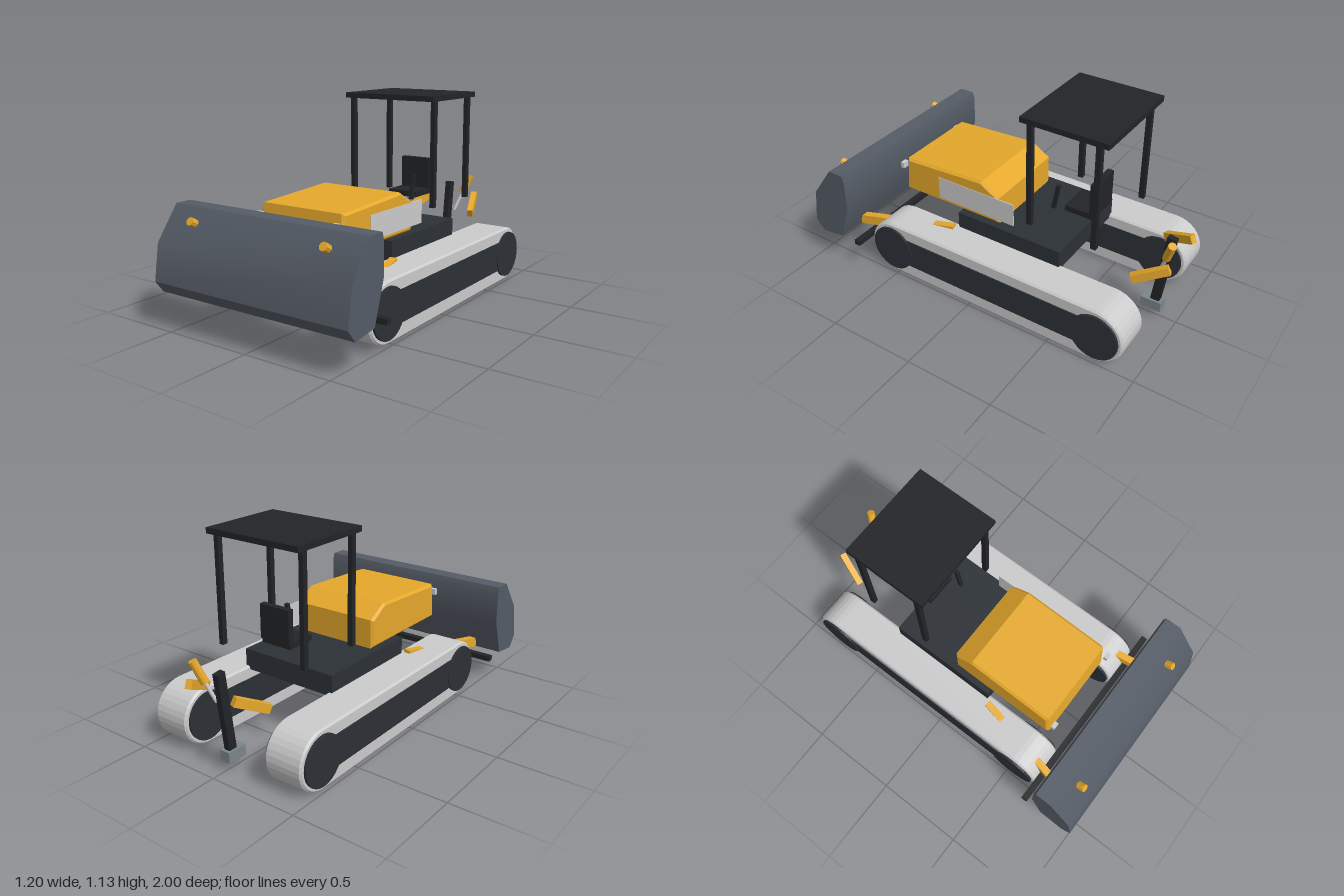
import * as THREE from 'three';
import { toCreasedNormals } from 'three/addons/utils/BufferGeometryUtils.js';

const mat = (color, flatShading = true) => new THREE.MeshStandardMaterial({ color, flatShading });
const yellow = mat(0xe5a82b);
const black = mat(0x222427);
const dark = mat(0x2c3137);
const steel = mat(0x555c66, false);
const tooth = mat(0x7a868c);
const grey = mat(0xcccccc);
const V = (x, y, z) => new THREE.Vector3(x, y, z);

export function createModel() {
  const model = new THREE.Group();

  const add = (name, geometry, material) => {
    const mesh = new THREE.Mesh(geometry, material);
    mesh.name = name;
    model.add(mesh);
    return mesh;
  };

  // Box given by its ranges on x, y and z
  const box = (name, material, [x0, x1], [y0, y1], [z0, z1]) => {
    const mesh = add(name, new THREE.BoxGeometry(x1 - x0, y1 - y0, z1 - z0), material);
    mesh.position.set((x0 + x1) / 2, (y0 + y1) / 2, (z0 + z1) / 2);
    return mesh;
  };

  // Rectangular bar running from a to b
  const bar = (name, material, a, b, width, height) => {
    const mesh = add(name, new THREE.BoxGeometry(width, height, a.distanceTo(b)), material);
    mesh.position.copy(a).lerp(b, 0.5);
    mesh.lookAt(b);
    return mesh;
  };

  // Cylinder running from a to b
  const rod = (name, material, a, b, radius, sides = 10) => {
    const mesh = add(name, new THREE.CylinderGeometry(radius, radius, a.distanceTo(b), sides), material);
    mesh.position.copy(a).lerp(b, 0.5);
    mesh.quaternion.setFromUnitVectors(V(0, 1, 0), b.clone().sub(a).normalize());
    return mesh;
  };

  // Side profile in (z, y), extruded across x and centred on x = 0
  const across = (shape, width, bevel = 0, curveSegments = 8) => {
    const g = new THREE.ExtrudeGeometry(shape, {
      depth: width - 2 * bevel, bevelEnabled: bevel > 0, bevelSize: bevel,
      bevelThickness: bevel, bevelOffset: -bevel, bevelSegments: 1, curveSegments,
    });
    g.translate(0, 0, bevel - width / 2);
    return g.rotateY(-Math.PI / 2);
  };
  const outline = (points) => new THREE.Shape(points.map(([z, y]) => new THREE.Vector2(z, y)));

  // Blade with its lower cutting lip
  const bladeShape = outline([[1, 0.245], [0.97, 0.44], [0.837, 0.62], [0.746, 0.62],
    [0.735, 0.583], [0.735, 0.41], [0.805, 0.198], [0.95, 0.18]]);
  add('blade', toCreasedNormals(across(bladeShape, 1.196), 0.52), steel);
  box('bladeCrossbar', black, [-0.598, 0.598], [0.18, 0.21], [0.675, 0.71]);

  // Rounded track loop
  const trackShape = new THREE.Shape();
  trackShape.absarc(0.52, 0.16, 0.16, -Math.PI / 2, Math.PI / 2, false);
  trackShape.absarc(-0.76, 0.16, 0.16, Math.PI / 2, Math.PI * 1.5, false);

  for (const s of [-1, 1]) {
    const side = s > 0 ? 'left' : 'right';
    const spanX = (a, b) => (s > 0 ? [a, b] : [-b, -a]);

    // Track, its side frame and its wheels
    add(side + 'Track', across(trackShape, 0.217, 0.01), grey).position.x = s * 0.373;
    box(side + 'TrackFrame', dark, spanX(0.259, 0.488), [0.08, 0.25], [-0.76, 0.52]);
    for (const [end, z] of [['Front', 0.525], ['Rear', -0.763]]) {
      rod(side + end + 'Wheel', dark, V(s * 0.253, 0.16, z), V(s * 0.494, 0.16, z), 0.134, 28);
    }

    // Blade arm and blade lamp
    bar(side + 'BladeArm', yellow, V(s * 0.312, 0.309, 0.215), V(s * 0.428, 0.228, 0.8), 0.04, 0.056);
    rod(side + 'BladeLamp', yellow, V(s * 0.411, 0.53, 0.86), V(s * 0.411, 0.565, 0.925), 0.022, 8);

    // Headlight
    box(side + 'Headlight', grey, spanX(0.223, 0.26), [0.545, 0.58], [0.598, 0.62]);

    // Canopy posts
    for (const [end, z] of [['Front', -0.247], ['Rear', -0.624]]) {
      box(side + end + 'Post', black, spanX(0.255, 0.282), [0.51, 1.105], [z - 0.015, z + 0.015]);
    }

    // Rear lift arm
    bar(side + 'RearArm', yellow, V(s * 0.208, 0.365, -0.812), V(s * 0.147, 0.45, -0.982), 0.035, 0.047);
  }

  // Chassis, hood and engine side panel
  box('chassis', dark, [-0.29, 0.29], [0.3, 0.415], [-0.44, 0.2]);
  const hoodShape = outline([[0.59, 0.417], [0.57, 0.62], [0.067, 0.645], [-0.045, 0.578], [-0.045, 0.417]]);
  add('hood', across(hoodShape, 0.518, 0.013), yellow);
  box('enginePanel', grey, [0.256, 0.262], [0.443, 0.575], [-0.14, 0.35]);

  // Canopy roof, seat and control lever
  box('canopyRoof', black, [-0.29, 0.29], [1.1, 1.13], [-0.68, -0.195]);
  box('seat', black, [-0.093, 0.093], [0.53, 0.562], [-0.52, -0.352]);
  box('seatBack', black, [-0.093, 0.093], [0.555, 0.74], [-0.53, -0.495]);
  bar('controlLever', black, V(0.1, 0.53, -0.29), V(0.1, 0.675, -0.316), 0.022, 0.02);

  // Ripper shank and tooth
  bar('ripperShank', black, V(0, 0.1, -0.872), V(0, 0.53, -0.925), 0.034, 0.05);
  box('ripperTooth', tooth, [-0.03, 0.03], [0.05, 0.108], [-0.915, -0.8]);

  // Ripper hydraulic cylinder
  rod('ripperPiston', grey, V(0.05, 0.355, -0.9), V(0.087, 0.466, -0.937), 0.01);
  rod('ripperCylinder', yellow, V(0.085, 0.46, -0.935), V(0.122, 0.575, -0.972), 0.022);

  return model;
}
